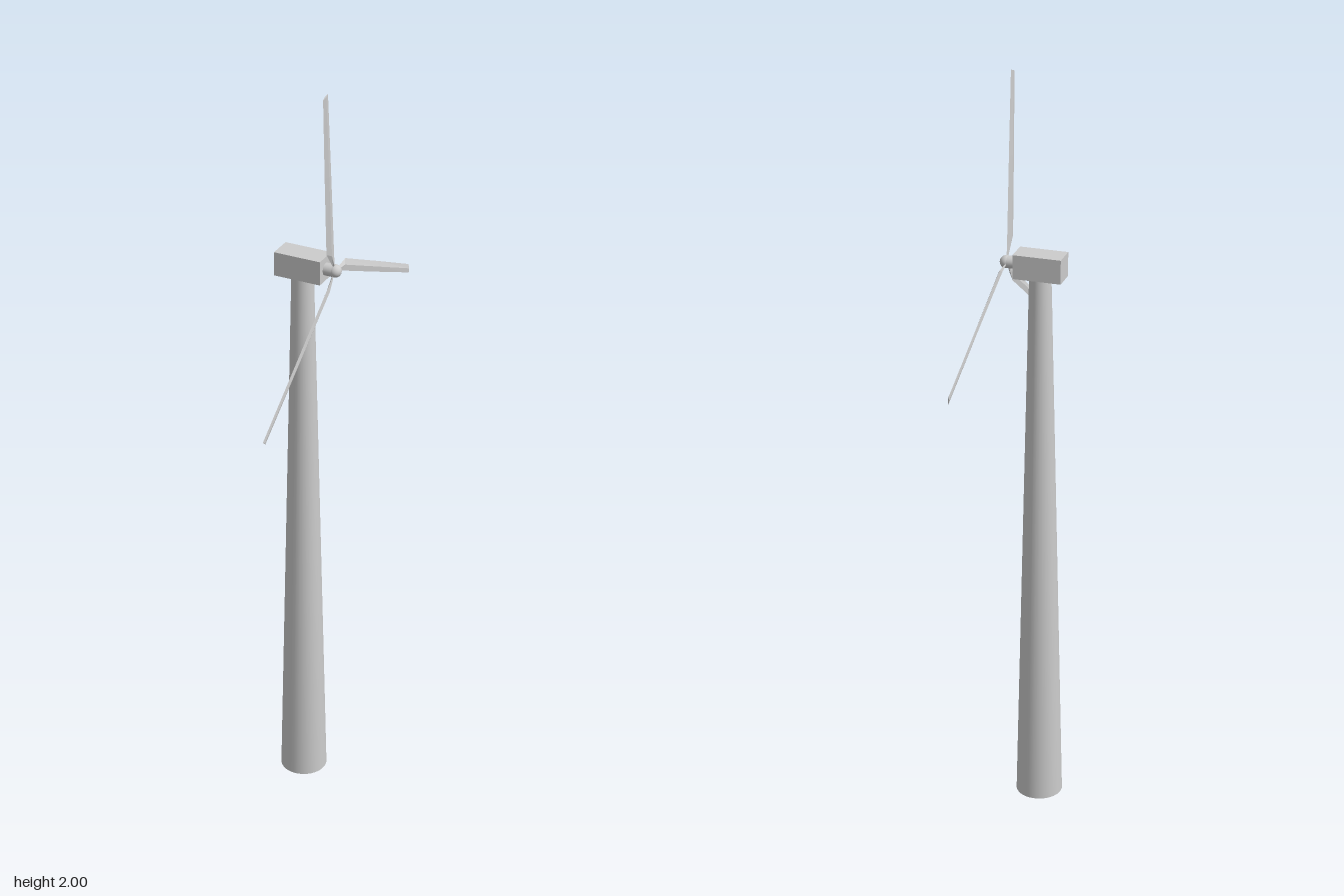
import * as THREE from 'three';

const HUB_Y = 1.52, AXIS_X = -0.023, AXIS_Z = 0.022;

// Blade with a lozenge cross-section, lofted outwards along +y from the hub axis.
function bladeGeometry() {
  // trailing z, y | leading z, y | middle x | thickness
  const sections = [
    [0.0, 0.008, 0.005, 0.01, 0.064, 0.004],
    [0.005, 0.04, 0.037, 0.058, 0.0625, 0.009],
    [0.025, 0.265, 0.052, 0.265, 0.064, 0.007],
    [0.045, 0.48, 0.066, 0.471, 0.0655, 0.004],
  ];
  const points = [], index = [];
  for (const [tz, ty, lz, ly, x, t] of sections) {
    const mz = (tz + lz) / 2, my = (ty + ly) / 2;
    points.push(x - t * 0.3, ly, lz, x + t / 2, my, mz, x + t * 0.3, ty, tz, x - t / 2, my, mz);
  }
  const last = (sections.length - 1) * 4;
  for (let s = 0; s < last; s += 4) {
    for (let i = 0; i < 4; i++) {
      const a = s + i, b = s + (i + 1) % 4;
      index.push(a, b, b + 4, a, b + 4, a + 4);
    }
  }
  // root and tip caps
  index.push(0, 2, 1, 0, 3, 2, last, last + 1, last + 2, last, last + 2, last + 3);
  const geometry = new THREE.BufferGeometry();
  geometry.setAttribute('position', new THREE.Float32BufferAttribute(points, 3));
  geometry.setIndex(index);
  geometry.computeVertexNormals();
  return geometry;
}

export function createModel() {
  const model = new THREE.Group();
  model.name = 'windTurbine';
  const smooth = new THREE.MeshStandardMaterial({ color: 0xcccccc });
  const flat = new THREE.MeshStandardMaterial({ color: 0xcccccc, flatShading: true });

  const add = (parent, name, geometry, material, x, y, z) => {
    const mesh = new THREE.Mesh(geometry, material);
    mesh.name = name;
    mesh.position.set(x, y, z);
    parent.add(mesh);
    return mesh;
  };

  // Tapered tower and the box-shaped housing on top
  add(model, 'tower', new THREE.CylinderGeometry(0.028, 0.062, 1.49, 32), smooth, AXIS_X, 0.745, AXIS_Z);
  add(model, 'nacelle', new THREE.BoxGeometry(0.125, 0.063, 0.063), flat, AXIS_X, HUB_Y, AXIS_Z);

  // Rotor turning about the x axis
  const rotor = new THREE.Group();
  rotor.name = 'rotor';
  rotor.position.set(0, HUB_Y, AXIS_Z);
  model.add(rotor);
  const shaft = add(rotor, 'shaft', new THREE.CylinderGeometry(0.016, 0.016, 0.028, 24), smooth, 0.052, 0, 0);
  shaft.rotation.z = -Math.PI / 2;
  add(rotor, 'hub', new THREE.SphereGeometry(0.0165, 24, 16), smooth, 0.0655, 0, 0);

  const blade = bladeGeometry();
  for (let i = 0; i < 3; i++) {
    add(rotor, 'blade' + (i + 1), blade, flat, 0, 0, 0).rotation.x = i * Math.PI * 2 / 3;
  }
  return model;
}
